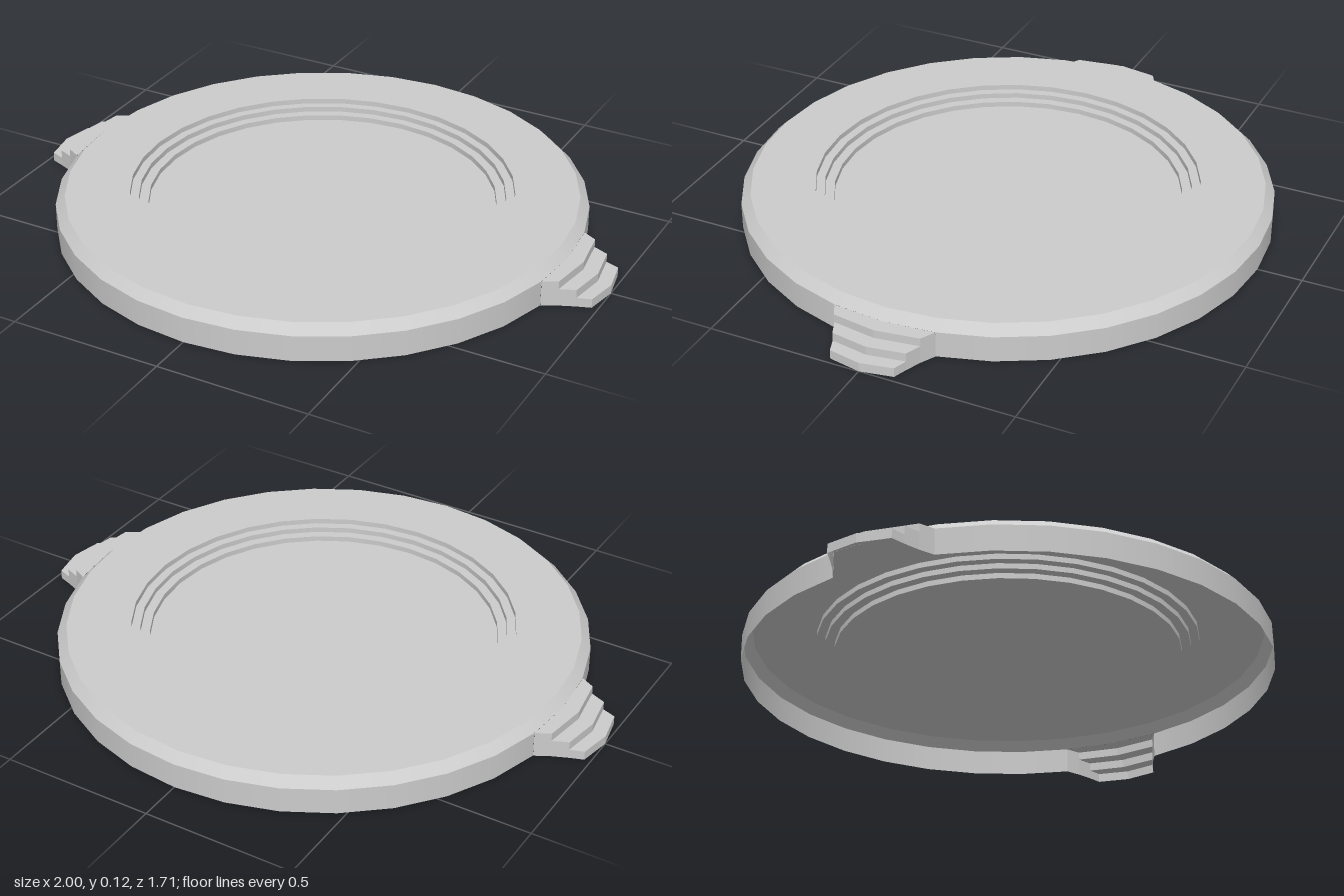
import * as THREE from 'three';

const SEGMENTS = 32;
const STEP = (Math.PI * 2) / SEGMENTS;
const material = new THREE.MeshStandardMaterial({ color: 0xcccccc, side: THREE.DoubleSide });

// One conical, flat or upright band between two [radius, height] points
function band(name, from, to, start = 0, segments = SEGMENTS) {
  const points = [new THREE.Vector2(...from), new THREE.Vector2(...to)];
  const geometry = new THREE.LatheGeometry(points, segments, start, segments * STEP);
  const mesh = new THREE.Mesh(geometry, material);
  mesh.name = name;
  return mesh;
}

// Stepped grip on +x, open underneath and towards the dish
function handleGeometry() {
  // Plan arcs from rim to tip: middle x, end x, end z
  const arcs = [
    [0.855, 0.839, 0.167],
    [0.906, 0.885, 0.142],
    [0.955, 0.935, 0.121],
    [1.0, 0.98, 0.105],
  ];
  const heights = [0.085, 0.058, 0.03, 0];
  const positions = [];
  const quad = (a, b, c, d) => positions.push(...a, ...b, ...c, ...a, ...c, ...d);
  const row = ([mid, end, z], y) => [[end, y, -z], [mid, y, 0], [end, y, z]];
  const strip = (p, q) => {
    for (let i = 0; i < 2; i++) quad(p[i], p[i + 1], q[i + 1], q[i]);
  };

  for (let i = 0; i < 3; i++) {
    const y = heights[i];
    const inner = row(arcs[i], y);
    const outer = row(arcs[i + 1], y);
    const innerBase = row(arcs[i], 0);
    const outerBase = row(arcs[i + 1], 0);
    strip(inner, outer); // tread
    strip(outer, row(arcs[i + 1], heights[i + 1])); // riser
    quad(inner[2], innerBase[2], outerBase[2], outer[2]); // +z cheek
    quad(inner[0], outer[0], outerBase[0], innerBase[0]); // -z cheek
  }

  const geometry = new THREE.BufferGeometry();
  geometry.setAttribute('position', new THREE.Float32BufferAttribute(positions, 3));
  geometry.computeVertexNormals();
  return geometry;
}

export function createModel() {
  const model = new THREE.Group();
  model.name = 'handledDish';

  // Outer wall in two halves, leaving a gap at each handle
  for (const side of [0, 1]) {
    const start = Math.PI / 2 + STEP + side * Math.PI;
    model.add(band('outerWall', [0.855, 0], [0.855, 0.085], start, SEGMENTS / 2 - 2));
  }

  // Bevelled edge and broad flat rim
  model.add(band('bevel', [0.855, 0.085], [0.825, 0.115], 0));
  model.add(band('rim', [0.825, 0.115], [0.618, 0.115], 0));

  // Stepped recess down to the floor
  const radii = [0.618, 0.59, 0.56, 0];
  const drop = 0.0175;
  for (let i = 0; i < 3; i++) {
    const top = 0.115 - i * drop;
    const low = top - drop;
    model.add(band('recessRiser', [radii[i], top], [radii[i], low]));
    model.add(band(i < 2 ? 'recessTread' : 'floor', [radii[i], low], [radii[i + 1], low]));
  }

  // Matching handles on both sides
  const grip = handleGeometry();
  for (const [name, turn] of [['leftHandle', 0], ['rightHandle', Math.PI]]) {
    const handle = new THREE.Mesh(grip, material);
    handle.name = name;
    handle.rotation.y = turn;
    model.add(handle);
  }
  return model;
}
